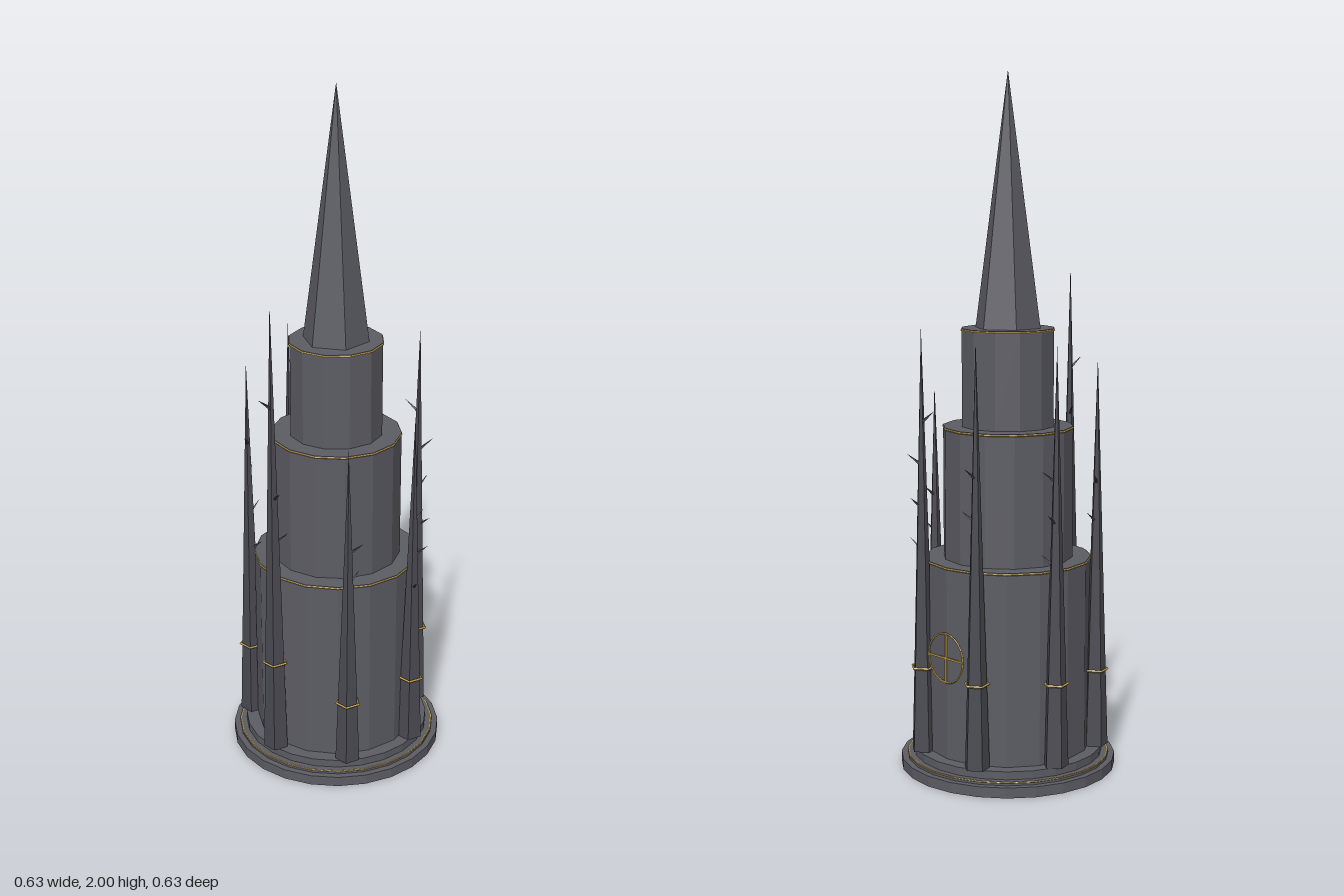
import * as THREE from 'three';

export function createModel() {
  const model = new THREE.Group();
  const material = (name, color) => {
    const m = new THREE.MeshStandardMaterial({ color, flatShading: true });
    m.name = name;
    return m;
  };
  const stone = material('stone', 0x5c5c64);
  const darkStone = material('dark stone', 0x4a4a52);
  const gold = material('gold', 0xc4a04a);

  const add = (name, geometry, mat, parent = model) => {
    const mesh = new THREE.Mesh(geometry, mat);
    mesh.name = name;
    parent.add(mesh);
    return mesh;
  };
  // Upright drum between two heights
  const drum = (name, r, y0, y1, sides) =>
    add(name, new THREE.CylinderGeometry(r, r, y1 - y0, sides).translate(0, (y0 + y1) / 2, 0), stone);
  // Thin horizontal gold ring whose corners line up with the drum
  const ring = (name, r, y, sides) =>
    add(name, new THREE.TorusGeometry(r, 0.003, 5, sides).rotateX(Math.PI / 2).rotateY(Math.PI / 2).translate(0, y, 0), gold);

  // Stepped base
  drum('plinth', 0.313, 0, 0.03, 24);
  drum('plinthStep', 0.295, 0.03, 0.04, 24);
  drum('plinthTop', 0.275, 0.04, 0.063, 24);
  ring('plinthRing', 0.293, 0.038, 24);

  // Three tiers, each with a gold ring around its top
  [[0.24, 0.06, 0.62, 16], [0.188, 0.62, 1.0, 14], [0.135, 1.0, 1.28, 12]].forEach(([r, y0, y1, n], i) => {
    drum(`tier${i + 1}`, r, y0, y1, n);
    ring(`tierRing${i + 1}`, r, y1 - 0.004, n);
  });

  // Spire
  add('spire', new THREE.ConeGeometry(0.096, 0.72, 6).translate(0, 1.64, 0), stone);

  // Round window with a cross on the back
  const rose = new THREE.Group();
  rose.name = 'roseWindow';
  rose.position.set(0, 0.36, -0.245);
  model.add(rose);
  add('windowRing', new THREE.TorusGeometry(0.071, 0.003, 5, 24), gold, rose);
  add('windowBarUpright', new THREE.BoxGeometry(0.005, 0.14, 0.005), gold, rose);
  add('windowBarAcross', new THREE.BoxGeometry(0.14, 0.005, 0.005), gold, rose);

  // Thorny spikes around the tower: tip height, then thorn directions in degrees
  const spikes = [
    [1.45, [50, -15, 145, -100]],
    [1.05, [130, 85, 35]],
    [1.1, [-30, 40, 90]],
    [1.29, [15, 85, 55, 200]],
    [1.27, [-28, 40, 90]],
    [1.25, [35, 100, 65]],
    [1.2, [15, 90, 120, -55]],
  ];
  const up = new THREE.Vector3(0, 1, 0);
  const foot = 0.063;
  spikes.forEach(([tip, thorns], i) => {
    const a = (i / spikes.length) * Math.PI * 2;
    const spike = new THREE.Group();
    spike.name = `spike${i + 1}`;
    spike.position.set(0.257 * Math.sin(a), foot, 0.257 * Math.cos(a));
    model.add(spike);
    const h = tip - foot;
    add('spikeShaft', new THREE.ConeGeometry(0.037, h, 5).rotateY(Math.PI).translate(0, h / 2, 0), darkStone, spike);
    add('spikeCollar', new THREE.TorusGeometry(0.035, 0.004, 4, 5).rotateX(Math.PI / 2).rotateY(Math.PI / 2)
      .translate(0, tip * 0.24 - foot, 0), gold, spike);
    thorns.forEach((deg, k) => {
      const t = THREE.MathUtils.degToRad(deg);
      const dir = new THREE.Vector3(Math.cos(t), 0.8, -Math.sin(t)).normalize();
      const thorn = add('thorn', new THREE.ConeGeometry(0.006, 0.055, 4).translate(0, 0.0275, 0), darkStone, spike);
      thorn.position.y = h * (0.48 + 0.1 * k);
      thorn.quaternion.setFromUnitVectors(up, dir);
    });
  });

  return model;
}
